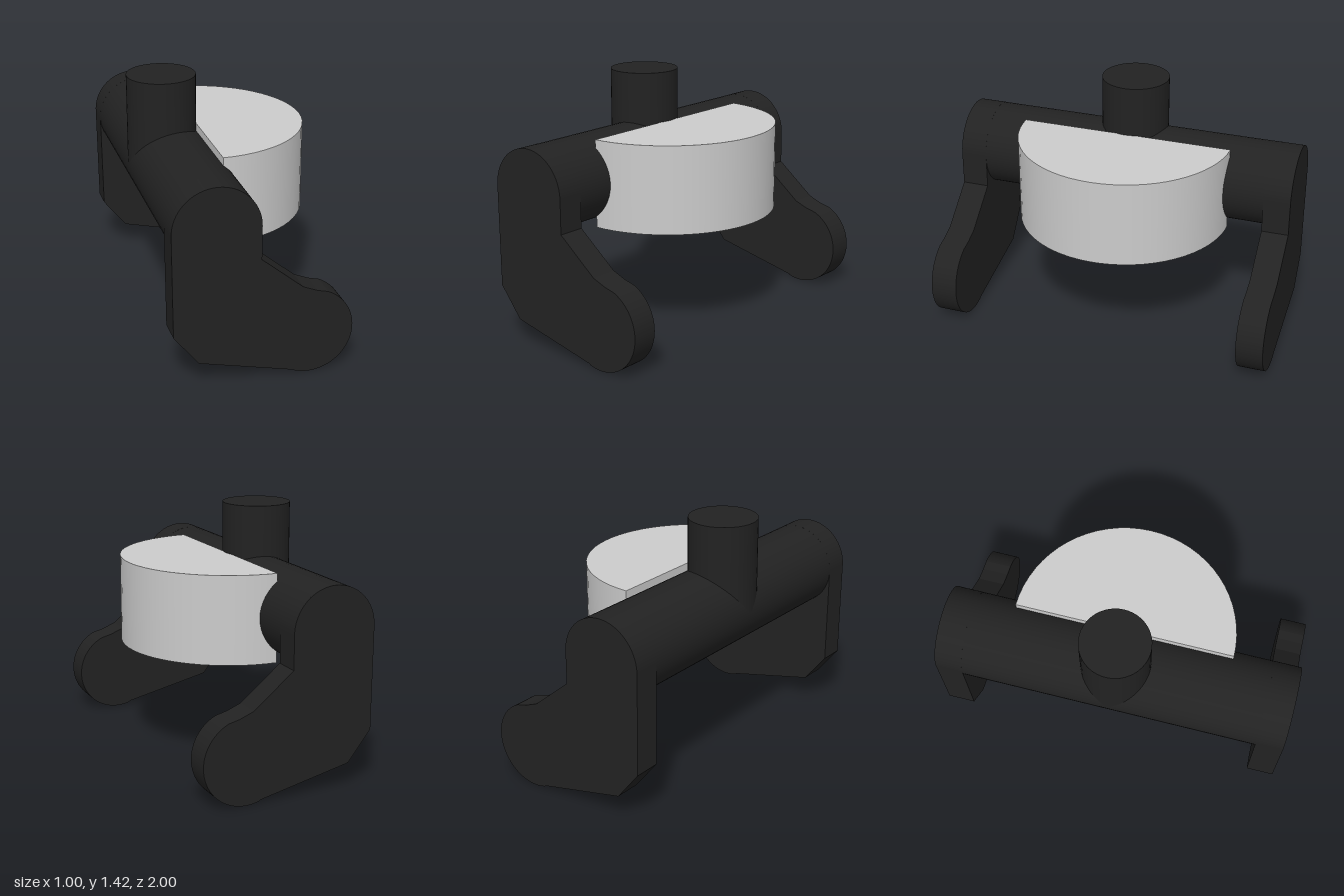
import * as THREE from 'three';

export function createModel() {
  const group = new THREE.Group();
  const dark = new THREE.MeshStandardMaterial({ color: 0x222222 });
  const grey = new THREE.MeshStandardMaterial({ color: 0xcccccc });

  const add = (name, geometry, material, x, y, z) => {
    const mesh = new THREE.Mesh(geometry, material);
    mesh.name = name;
    mesh.position.set(x, y, z);
    group.add(mesh);
    return mesh;
  };

  const R = 0.24, barX = -0.26, barY = 0.89, thick = 0.155;

  // Round crossbar running from side to side
  add('crossbar', new THREE.CylinderGeometry(R, R, 1.99, 48), dark, barX, barY, 0)
    .rotation.x = Math.PI / 2;

  // Upright post on top of the crossbar
  add('post', new THREE.CylinderGeometry(0.195, 0.195, 0.53, 48), dark, -0.305, 1.155, 0);

  // Half-round block: curved wall, caps and flat back
  add('halfRoundBlock', new THREE.CylinderGeometry(0.62, 0.62, 0.5, 32, 1, false, 0, Math.PI),
    grey, -0.12, 0.88, 0);
  add('blockBack', new THREE.PlaneGeometry(1.24, 0.5), grey, -0.12, 0.88, 0)
    .rotation.y = -Math.PI / 2;

  // Flat bent legs, rounded at the shoulder and the foot
  const leg = new THREE.Shape();
  leg.moveTo(-0.495, 0.31);
  leg.lineTo(-0.36, 0.14);
  leg.lineTo(0.17, 0.018);
  leg.absarc(0.252, 0.243, 0.243, -1.9, 1.15, false);
  leg.lineTo(0.29, 0.48);
  leg.lineTo(0.21, 0.512);
  leg.lineTo(-0.02, 0.7);
  leg.absarc(barX, barY, R, 0, Math.PI, false);
  leg.closePath();
  const legGeometry = new THREE.ExtrudeGeometry(leg, {
    depth: thick, bevelEnabled: false, curveSegments: 32,
  });
  add('leftLeg', legGeometry, dark, 0, 0, 1 - thick);
  add('rightLeg', legGeometry, dark, 0, 0, -1);

  return group;
}
